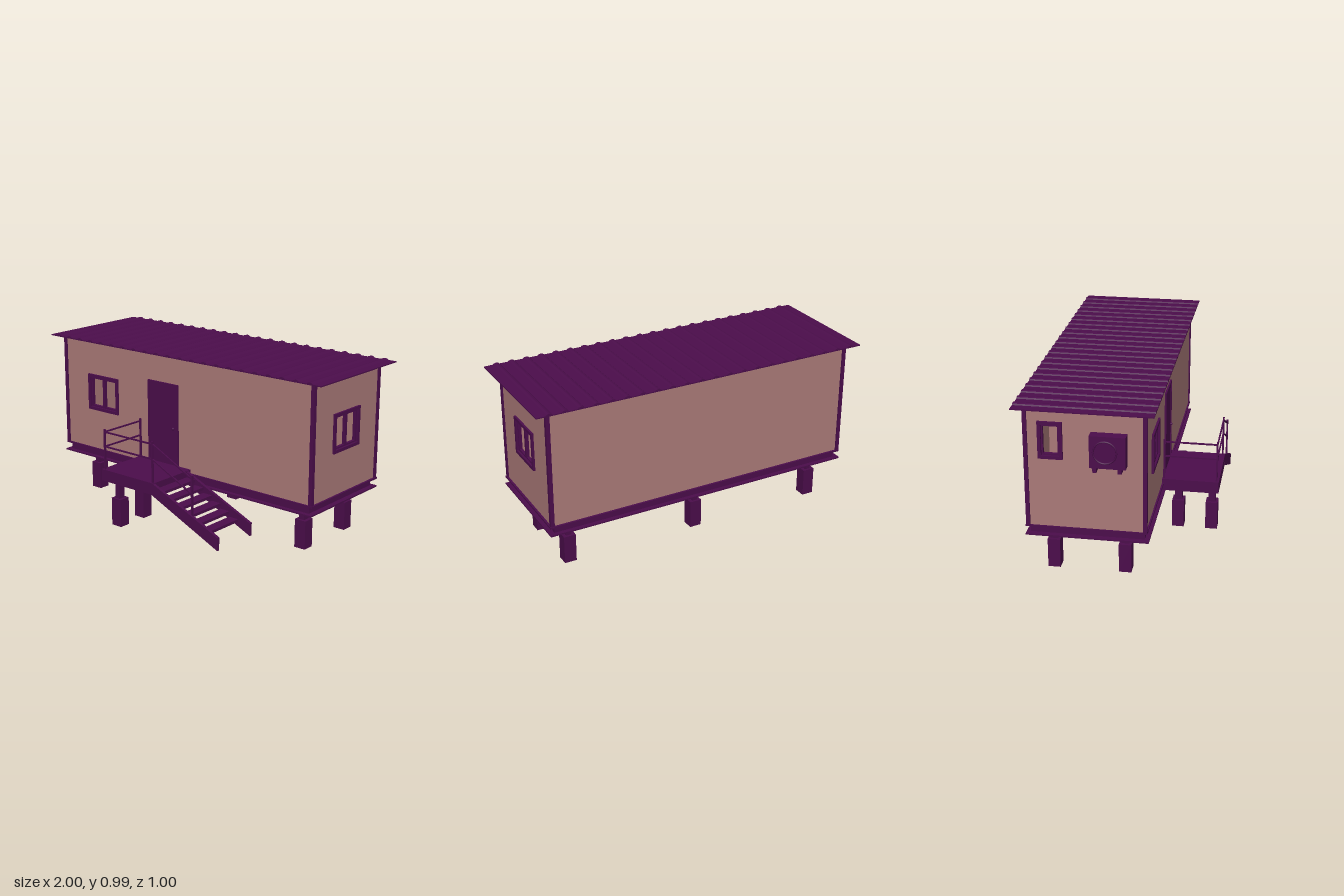
import * as THREE from 'three';

const trim = new THREE.MeshStandardMaterial({ color: 0x4b0d4b });
const panel = new THREE.MeshStandardMaterial({ color: 0xaa7a78 });

function add(parent, name, geo, mat = trim) {
  const m = new THREE.Mesh(geo, mat);
  m.name = name;
  parent.add(m);
  return m;
}

// Box given by its min and max on each axis
function box(parent, name, x0, x1, y0, y1, z0, z1, mat = trim) {
  const m = add(parent, name, new THREE.BoxGeometry(x1 - x0, y1 - y0, z1 - z0), mat);
  m.position.set((x0 + x1) / 2, (y0 + y1) / 2, (z0 + z1) / 2);
  return m;
}

// Thin square bar between two points
function bar(parent, name, a, b, t = 0.01) {
  const p = new THREE.Vector3(...a), q = new THREE.Vector3(...b);
  const m = add(parent, name, new THREE.BoxGeometry(t, t, p.distanceTo(q)));
  m.position.copy(p).add(q).multiplyScalar(0.5);
  m.lookAt(q);
  return m;
}

function rect(path, cx, cy, w, h) {
  path.moveTo(cx - w / 2, cy - h / 2);
  path.lineTo(cx + w / 2, cy - h / 2);
  path.lineTo(cx + w / 2, cy + h / 2);
  path.lineTo(cx - w / 2, cy + h / 2);
  path.closePath();
  return path;
}

// Upright slab with an optional rectangular opening
function slab(cx, cy, w, h, depth, hole) {
  const s = rect(new THREE.Shape(), cx, cy, w, h);
  if (hole) s.holes.push(rect(new THREE.Path(), ...hole));
  return new THREE.ExtrudeGeometry(s, { depth, bevelEnabled: false });
}

// Sliding window, facing local +z, its back at z = 0
function makeWindow(name, w, h, split) {
  const g = new THREE.Group();
  g.name = name;
  add(g, 'windowFrame', slab(0, 0, w, h, 0.03, [0, 0, w - 0.036, h - 0.036]));
  add(g, 'windowSash', slab(0, 0, w - 0.034, h - 0.034, 0.018, [0, 0, w - 0.054, h - 0.054]));
  if (split) box(g, 'windowMullion', -0.009, 0.009, -h / 2 + 0.02, h / 2 - 0.02, 0.002, 0.02);
  return g;
}

export function createModel() {
  const model = new THREE.Group();
  const Y0 = 0.305, Y1 = 0.98, ZF = 0.178, ZB = -0.448, ZC = -0.135, T = 0.015;
  const yc = (Y0 + Y1) / 2, h = Y1 - Y0;

  // Floor frame
  box(model, 'floorPlate', -0.93, 0.935, 0.295, 0.305, -0.46, 0.187);
  box(model, 'floorBeam', -0.905, 0.905, 0.254, 0.296, -0.437, 0.17);
  box(model, 'bottomPlate', -0.935, 0.935, 0.247, 0.255, -0.46, 0.195);

  // Walls
  const front = add(model, 'frontWall', slab(0, yc, 1.83, h, T, [-0.604, 0.66, 0.215, 0.19]), panel);
  front.position.z = ZF - T;
  box(model, 'backWall', -0.915, 0.915, Y0, Y1, ZB, ZB + T, panel);
  const right = add(model, 'leftSideWall', slab(0, yc, 0.6, h, T, [-0.003, 0.66, 0.215, 0.19]), panel);
  right.rotation.y = Math.PI / 2;
  right.position.set(0.923 - T, 0, ZC);
  const left = add(model, 'rightSideWall', slab(0, yc, 0.6, h, T, [-0.18, 0.795, 0.1, 0.17]), panel);
  left.rotation.y = -Math.PI / 2;
  left.position.set(-0.923 + T, 0, ZC);
  for (const s of [-1, 1])
    for (const z of [0.175, -0.445])
      box(model, 'cornerPost', s * 0.92 - 0.011, s * 0.92 + 0.011, Y0, Y1, z - 0.011, z + 0.011);

  // Inner partition with its door
  box(model, 'partition', -0.46, -0.45, Y0, Y1, -0.435, 0.165, panel);
  box(model, 'innerDoor', -0.452, -0.44, Y0, 0.81, -0.4, -0.175);

  // Windows
  const w1 = makeWindow('frontWindow', 0.245, 0.22, true);
  w1.position.set(-0.604, 0.66, ZF - 0.018);
  const w2 = makeWindow('leftSideWindow', 0.247, 0.222, true);
  w2.rotation.y = Math.PI / 2;
  w2.position.set(0.905, 0.66, -0.132);
  const w3 = makeWindow('rightSideWindow', 0.13, 0.205, false);
  w3.rotation.y = -Math.PI / 2;
  w3.position.set(-0.905, 0.795, -0.315);
  model.add(w1, w2, w3);

  // Front door
  const door = new THREE.Group();
  door.name = 'frontDoor';
  box(door, 'doorLeaf', -0.228, -0.016, 0.32, 0.803, 0.165, 0.182);
  box(door, 'doorHeader', -0.237, -0.007, 0.8, 0.812, 0.165, 0.188);
  for (const x of [-0.237, -0.017]) box(door, 'doorJamb', x, x + 0.01, 0.32, 0.812, 0.165, 0.188);
  const knob = add(door, 'doorKnob', new THREE.SphereGeometry(0.008, 12, 8));
  knob.position.set(-0.04, 0.55, 0.19);
  model.add(door);

  // Ribbed roof sheet
  const roof = new THREE.Shape();
  roof.moveTo(-0.995, 0.977);
  roof.lineTo(1, 0.977);
  roof.lineTo(1, 0.983);
  for (let i = 21; i >= 0; i--) {
    const x = -0.925 + i * 0.0883;
    for (const [dx, dy] of [[0.02, 0], [0.013, 0.006], [0, 0.009], [-0.013, 0.006], [-0.02, 0]])
      roof.lineTo(x + dx, 0.983 + dy);
  }
  roof.lineTo(-0.995, 0.983);
  roof.closePath();
  const sheet = add(model, 'roof', new THREE.ExtrudeGeometry(roof, { depth: 0.73, bevelEnabled: false }));
  sheet.position.z = -0.5;

  // Footings: wide block with a narrow post
  for (const [x, z] of [[-0.784, 0.05], [0.79, 0.05], [-0.784, -0.338], [0, -0.338], [0.79, -0.338],
    [-0.216, 0.455], [-0.216, 0.262]]) {
    box(model, 'footingBlock', x - 0.035, x + 0.035, 0, 0.165, z - 0.034, z + 0.034);
    box(model, 'footingPost', x - 0.016, x + 0.016, 0.16, 0.265, z - 0.021, z + 0.021);
  }

  // Entrance deck
  box(model, 'deck', -0.316, 0.083, 0.258, 0.327, 0.17, 0.498);

  // Stair stringers and treads
  const side = new THREE.Shape([[0.075, 0.327], [0.545, 0.123], [0.545, 0.048], [0.075, 0.256]]
    .map(p => new THREE.Vector2(...p)));
  for (const z of [0.198, 0.482]) {
    const s = add(model, 'stairStringer', new THREE.ExtrudeGeometry(side, { depth: 0.017, bevelEnabled: false }));
    s.position.z = z;
  }
  for (let i = 0; i < 6; i++) {
    const x = 0.083 + i * 0.063, y = 0.29 - i * 0.0325;
    box(model, 'stairTread', x, x + 0.063, y - 0.016, y, 0.205, 0.49);
  }

  // Railings
  const rails = new THREE.Group();
  rails.name = 'railings';
  const zr = 0.485, xl = -0.3, xr = 0.068, xe = 0.356;
  bar(rails, 'railPost', [xl, 0.32, zr], [xl, 0.565, zr]);
  bar(rails, 'railPost', [xl, 0.32, 0.187], [xl, 0.565, 0.187]);
  bar(rails, 'railPost', [xr, 0.32, zr], [xr, 0.565, zr]);
  bar(rails, 'railPost', [xe, 0.18, zr], [xe, 0.43, zr]);
  for (const y of [0.55, 0.463]) {
    bar(rails, 'sideRail', [xl, y, 0.185], [xl, y, zr], 0.008);
    bar(rails, 'frontRail', [xl, y, zr], [xr, y, zr], 0.008);
    bar(rails, 'stairRail', [xr, y, zr], [xe, y - 0.14, zr], 0.008);
  }
  model.add(rails);

  // Air conditioner on the end wall
  const ac = new THREE.Group();
  ac.name = 'airConditioner';
  box(ac, 'acBody', -0.995, -0.94, 0.687, 0.862, -0.1, 0.087);
  const fan = add(ac, 'acFanRing', new THREE.TorusGeometry(0.06, 0.005, 6, 24));
  fan.rotation.y = Math.PI / 2;
  fan.position.set(-0.995, 0.775, -0.02);
  for (const z of [-0.075, 0.055]) {
    box(ac, 'acFoot', -0.99, -0.945, 0.66, 0.69, z - 0.01, z + 0.01);
    for (const y of [0.71, 0.83]) box(ac, 'acMount', -0.945, -0.92, y, y + 0.01, z - 0.01, z + 0.01);
  }
  model.add(ac);
  return model;
}
